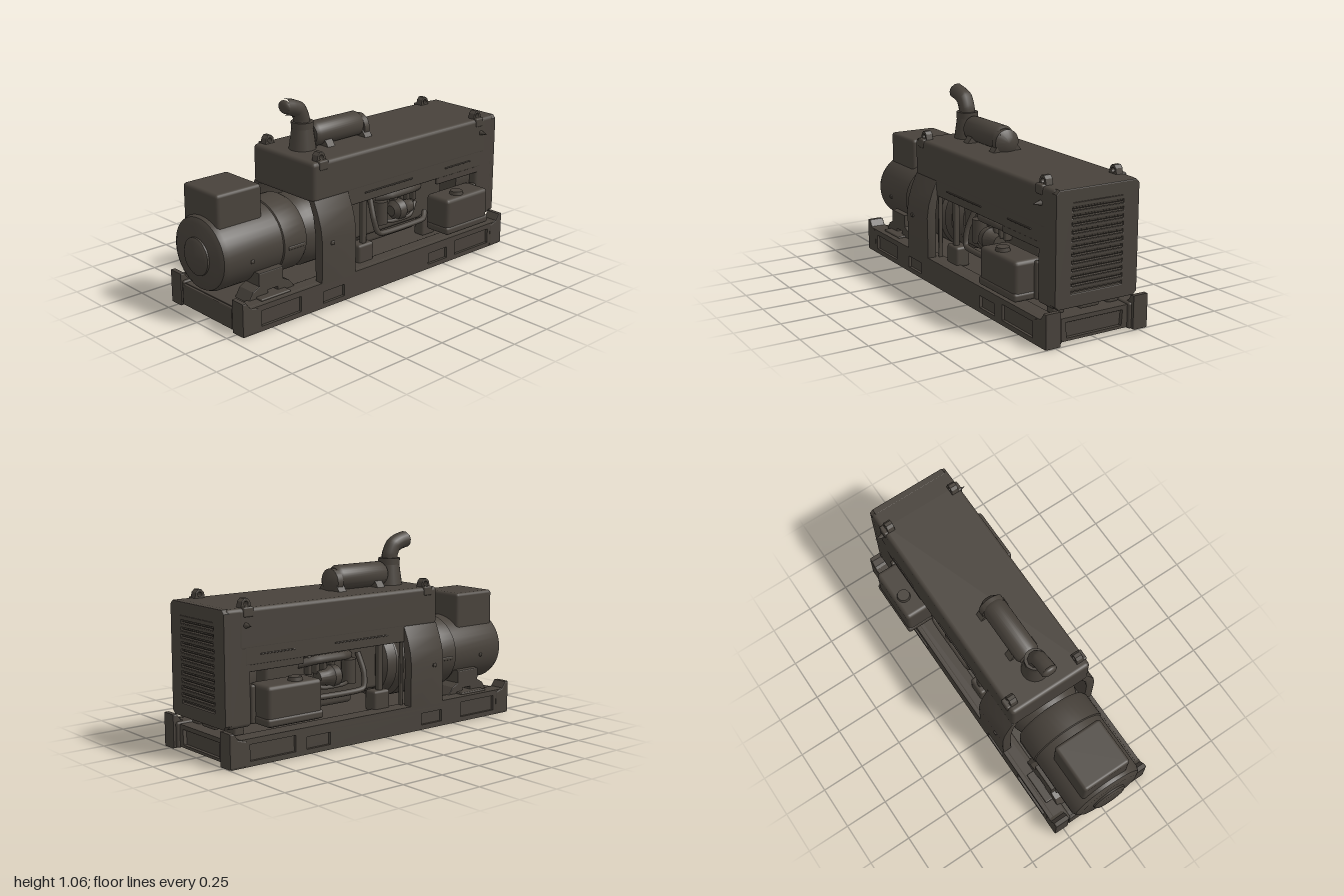
import * as THREE from 'three';
import { RoundedBoxGeometry } from 'three/addons/geometries/RoundedBoxGeometry.js';
import { toCreasedNormals } from 'three/addons/utils/BufferGeometryUtils.js';

export function createModel() {
  const root = new THREE.Group();
  root.name = 'generatorSet';
  const paint = new THREE.MeshStandardMaterial({ color: 0x48423b });
  paint.name = 'dark grey brown paint';

  const add = (name, geo) => {
    const m = new THREE.Mesh(geo, paint);
    m.name = name;
    root.add(m);
    return m;
  };
  // Rounded box given by its limits
  const box = (name, x0, x1, y0, y1, z0, z1, r = 0.012) => {
    const w = x1 - x0, h = y1 - y0, d = z1 - z0;
    const g = new RoundedBoxGeometry(w, h, d, 2, Math.min(r, w / 2.1, h / 2.1, d / 2.1));
    g.translate((x0 + x1) / 2, (y0 + y1) / 2, (z0 + z1) / 2);
    return add(name, g);
  };
  // Same box on both long sides
  const boxes = (name, x0, x1, y0, y1, z0, z1, r) => {
    box(name + 'Left', x0, x1, y0, y1, z0, z1, r);
    box(name + 'Right', x0, x1, y0, y1, -z1, -z0, r);
  };
  // Solid of revolution along x, profile of [x, radius]
  const turned = (name, pts, y, z = 0) => {
    const g = new THREE.LatheGeometry(pts.map(([x, r]) => new THREE.Vector2(r, -x)).reverse(), 40);
    g.rotateZ(Math.PI / 2);
    g.translate(0, y, z);
    return add(name, toCreasedNormals(g, 0.6));
  };
  const pipe = (name, pts, r) => {
    const curve = new THREE.CatmullRomCurve3(pts.map(p => new THREE.Vector3(...p)), false, 'catmullrom', 0.3);
    return add(name, new THREE.TubeGeometry(curve, 32, r, 10));
  };
  const poly = pts => new THREE.Shape(pts.map(p => new THREE.Vector2(...p)));
  const rect = (x0, x1, y0, y1) => poly([[x0, y0], [x1, y0], [x1, y1], [x0, y1]]);
  const extrude = (shape, depth, bevel = 0) => new THREE.ExtrudeGeometry(shape, {
    depth, bevelEnabled: bevel > 0, bevelSize: bevel, bevelThickness: bevel, bevelOffset: -bevel, bevelSegments: 2,
  });

  // Skid rails with recessed pockets
  const pockets = [[-0.82, -0.56, 0.035, 0.12], [-0.41, -0.26, 0.035, 0.1], [0.38, 0.53, 0.035, 0.1], [0.6, 0.88, 0.035, 0.12]];
  for (const s of [1, -1]) {
    const face = rect(-0.935, 0.99, 0.008, 0.15);
    pockets.forEach(p => face.holes.push(rect(...p)));
    const g = extrude(face, 0.022);
    g.translate(0, 0, s > 0 ? 0.282 : -0.304);
    add('railFace', g);
  }
  boxes('rail', -0.93, 0.985, 0.012, 0.15, 0.2, 0.288);
  box('deck', -0.92, 0.97, 0.115, 0.14, -0.22, 0.22, 0.004);
  // End beams with a shallow panel
  for (const [x, turn] of [[0.945, 1], [-0.895, -1]]) {
    const beam = rect(-0.21, 0.21, 0.02, 0.14);
    beam.holes.push(poly([[-0.165, 0.035], [0.165, 0.035], [0.172, 0.118], [-0.172, 0.118]]));
    const g = extrude(beam, 0.025);
    g.rotateY(turn * Math.PI / 2);
    g.translate(x, 0, 0);
    add('endBeam', g);
    box('endBeamCore', x - 0.04, x + 0.005, 0.02, 0.135, -0.21, 0.21, 0.004);
  }
  box('crossMember', 0.6, 0.7, 0.06, 0.12, -0.21, 0.21);
  // Corner posts
  for (const s of [1, -1]) {
    for (const [x, d] of [[1, -1], [-0.94, 1]]) {
      const g = extrude(poly([[x, 0.01], [x, 0.19], [x + d * 0.025, 0.19], [x + d * 0.05, 0.155], [x + d * 0.1, 0.14], [x + d * 0.1, 0.01]]), 0.075, 0.008);
      g.translate(0, 0, s > 0 ? 0.224 : -0.299);
      add('cornerPost', g);
    }
  }

  // Alternator
  turned('alternator', [[-0.98, 0], [-0.98, 0.165], [-0.965, 0.19], [-0.94, 0.2], [-0.6, 0.2], [-0.595, 0.206], [-0.46, 0.206], [-0.44, 0.195], [-0.44, 0]], 0.375).scale.z = 1.08;
  turned('alternatorEndCap', [[-1, 0], [-1, 0.085], [-0.99, 0.1], [-0.97, 0.1], [-0.97, 0]], 0.365);
  turned('bellHousing', [[-0.46, 0], [-0.46, 0.17], [-0.38, 0.2], [-0.22, 0.2], [-0.2, 0.18], [-0.09, 0.16], [-0.09, 0]], 0.36);
  box('controlBox', -0.945, -0.665, 0.45, 0.71, -0.155, 0.132, 0.018);
  boxes('alternatorSideBand', -0.57, -0.46, 0.35, 0.37, 0.2, 0.225, 0.006);
  boxes('alternatorBolt', -0.81, -0.79, 0.34, 0.36, 0.2, 0.222, 0.005);
  // Alternator feet with a slot
  for (const s of [1, -1]) {
    const foot = poly([[-0.84, 0.14], [-0.53, 0.14], [-0.57, 0.19], [-0.61, 0.21], [-0.61, 0.28], [-0.77, 0.28], [-0.77, 0.21], [-0.81, 0.19]]);
    foot.holes.push(rect(-0.71, -0.65, 0.16, 0.175));
    const g = extrude(foot, 0.1, 0.006);
    g.translate(0, 0, s > 0 ? 0.12 : -0.22);
    add('alternatorFoot', g);
    box('footPlate', -0.79, -0.6, 0.14, 0.16, s > 0 ? 0.18 : -0.27, s > 0 ? 0.27 : -0.18, 0.006);
  }

  // Curved coupling guards
  for (const s of [1, -1]) {
    const outline = [[0.305, 0.14], [0.308, 0.38], [0.298, 0.45], [0.275, 0.52], [0.245, 0.585], [0.2, 0.585], [0.235, 0.5], [0.25, 0.4], [0.25, 0.14]];
    const g = extrude(poly(outline.map(([z, y]) => [-s * z, y])), 0.225, 0.008);
    g.rotateY(Math.PI / 2);
    g.translate(-0.41, 0, 0);
    add('couplingGuard', toCreasedNormals(g, 0.7));
    box('guardLatch', -0.36, -0.335, 0.35, 0.37, s > 0 ? 0.3 : -0.316, s > 0 ? 0.316 : -0.3, 0.005);
  }

  // Hood, skirts and radiator housing
  box('hood', -0.42, 0.9, 0.57, 0.785, -0.247, 0.247, 0.022);
  boxes('hoodSkirt', -0.18, 0.86, 0.5, 0.6, 0.225, 0.246, 0.006);
  boxes('lowerSkirt', 0.5, 0.86, 0.465, 0.53, 0.225, 0.244, 0.006);
  boxes('hoodSeam', -0.06, 0.3, 0.546, 0.553, 0.24, 0.252, 0.002);
  boxes('hoodSeamRear', 0.56, 0.77, 0.546, 0.553, 0.24, 0.252, 0.002);
  box('radiatorHousing', 0.825, 0.965, 0.19, 0.785, -0.245, 0.245, 0.02);
  const grille = poly([[-0.225, 0.19], [0.225, 0.19], [0.245, 0.21], [0.245, 0.765], [0.225, 0.785], [-0.225, 0.785], [-0.245, 0.765], [-0.245, 0.21]]);
  for (let i = 0; i < 12; i++) {
    const y = 0.262 + i * 0.0376;
    grille.holes.push(poly([[-0.15, y], [0.15, y], [0.15, y + 0.016], [-0.15, y + 0.016]]));
    const blade = new THREE.BoxGeometry(0.012, 0.034, 0.296);
    blade.rotateZ(-0.35);
    blade.translate(0.974, y + 0.026, 0);
    add('louvre', blade);
  }
  const grilleGeo = extrude(grille, 0.03, 0.006);
  grilleGeo.rotateY(Math.PI / 2);
  grilleGeo.translate(0.947, 0, 0);
  add('radiatorGrille', grilleGeo);
  boxes('radiatorFoot', 0.84, 0.9, 0.135, 0.2, 0.13, 0.2);
  box('radiatorOutlet', 0.85, 0.93, 0.15, 0.2, -0.06, 0.06);

  // Lifting ears and side handles
  for (const s of [1, -1]) {
    for (const x of [-0.35, 0.84]) {
      const ear = poly([[x - 0.035, 0.77], [x + 0.035, 0.77], [x + 0.025, 0.815], [x + 0.01, 0.83], [x - 0.01, 0.83], [x - 0.025, 0.815]]);
      const hole = new THREE.Path();
      hole.absarc(x, 0.803, 0.012, 0, Math.PI * 2);
      ear.holes.push(hole);
      const g = extrude(ear, 0.035, 0.004);
      g.translate(0, 0, s > 0 ? 0.19 : -0.225);
      add('liftingEar', g);
      box('earBase', x - 0.03, x + 0.03, 0.74, 0.79, s > 0 ? 0.2 : -0.252, s > 0 ? 0.252 : -0.2, 0.008);
    }
    const knob = new THREE.ConeGeometry(0.018, 0.06, 10);
    knob.rotateX(s * Math.PI / 2);
    knob.translate(0.855, 0.7, s * 0.265);
    add('sideHandle', knob);
  }

  // Muffler and exhaust stack
  turned('muffler', [[-0.22, 0], [-0.22, 0.055], [-0.2, 0.068], [0.1, 0.068], [0.12, 0.055], [0.12, 0]], 0.85, -0.008);
  turned('mufflerFlange', [[0.11, 0], [0.11, 0.072], [0.145, 0.072], [0.17, 0.035], [0.17, 0]], 0.83, -0.008);
  for (const x of [-0.17, 0.1]) {
    const g = extrude(poly([[-0.09, 0.78], [0.09, 0.78], [0.06, 0.82], [0.045, 0.88], [-0.045, 0.88], [-0.06, 0.82]]), 0.05);
    g.rotateY(Math.PI / 2);
    g.translate(x, 0, -0.008);
    add('mufflerSaddle', g);
  }
  const stackBase = new THREE.CylinderGeometry(0.055, 0.075, 0.14, 20);
  stackBase.translate(-0.275, 0.845, -0.008);
  add('stackBase', stackBase);
  const collar = new THREE.CylinderGeometry(0.06, 0.06, 0.035, 20);
  collar.translate(-0.275, 0.915, -0.008);
  add('stackCollar', collar);
  const stack = pipe('exhaustStack', [[-0.275, 0.88, -0.008], [-0.28, 0.95, -0.008], [-0.305, 1.0, -0.008], [-0.35, 1.02, -0.008], [-0.395, 1.03, -0.008]], 0.045);
  stack.material = paint;
  const outlet = new THREE.SphereGeometry(0.045, 16, 10);
  outlet.scale(0.45, 0.8, 1);
  outlet.translate(-0.392, 1.028, -0.008);
  add('exhaustOutlet', outlet);

  // Engine block, sump and fan
  box('engineBlock', -0.1, 0.66, 0.24, 0.5, -0.13, 0.13, 0.02);
  box('cylinderHead', 0.02, 0.62, 0.46, 0.59, -0.1, 0.1, 0.02);
  box('oilSump', 0.07, 0.47, 0.18, 0.27, -0.11, 0.11, 0.025);
  turned('flywheelHousing', [[-0.17, 0], [-0.17, 0.2], [-0.11, 0.19], [-0.07, 0.14], [-0.07, 0]], 0.37);
  turned('coolingFan', [[0.74, 0], [0.74, 0.17], [0.83, 0.2], [0.83, 0]], 0.42);
  turned('fanHub', [[0.64, 0], [0.64, 0.05], [0.76, 0.05], [0.76, 0]], 0.4);
  for (const s of [1, -1]) {
    pipe('coolantPipe', [[0.07, 0.46, s * 0.15], [0.06, 0.36, s * 0.19], [0.08, 0.275, s * 0.21], [0.2, 0.265, s * 0.21], [0.42, 0.27, s * 0.21], [0.47, 0.3, s * 0.18]], 0.016);
    pipe('fuelPipe', [[0.1, 0.32, s * 0.14], [0.2, 0.31, s * 0.19], [0.34, 0.31, s * 0.19], [0.42, 0.36, s * 0.15]], 0.011);
    pipe('manifold', [[0.12, 0.45, s * 0.13], [0.2, 0.46, s * 0.18], [0.36, 0.46, s * 0.18], [0.46, 0.44, s * 0.13]], 0.024);
    turned('turbo', [[0.21, 0], [0.21, 0.03], [0.235, 0.055], [0.28, 0.06], [0.31, 0.04], [0.36, 0.035], [0.36, 0]], 0.36, s * 0.17);
    for (let i = 0; i < 4; i++) {
      box('injector', 0.24 + i * 0.05, 0.265 + i * 0.05, 0.38, 0.48, s > 0 ? 0.12 : -0.17, s > 0 ? 0.17 : -0.12, 0.008);
    }
    const filter = new THREE.CylinderGeometry(0.04, 0.04, 0.13, 16);
    filter.translate(0.14, 0.37, s * 0.16);
    add('oilFilter', filter);
  }

  // Engine supports and posts
  boxes('supportFoot', -0.09, 0.02, 0.135, 0.25, 0.15, 0.235, 0.015);
  boxes('supportPost', -0.05, -0.02, 0.2, 0.57, 0.19, 0.22, 0.006);
  boxes('rearMount', 0.48, 0.58, 0.135, 0.26, 0.09, 0.16);
  boxes('hoodPost', -0.18, -0.165, 0.14, 0.55, 0.215, 0.24, 0.005);

  // Side tanks with caps
  boxes('sideTank', 0.47, 0.805, 0.195, 0.405, 0.19, 0.358, 0.022);
  boxes('tankLip', 0.465, 0.81, 0.2, 0.245, 0.2, 0.364, 0.015);
  for (const s of [1, -1]) {
    const cap = new THREE.CylinderGeometry(0.035, 0.04, 0.025, 16);
    cap.translate(0.6, 0.412, s * 0.3);
    add('tankCap', cap);
  }
  boxes('tankBracket', 0.8, 0.83, 0.2, 0.4, 0.2, 0.25);
  return root;
}
